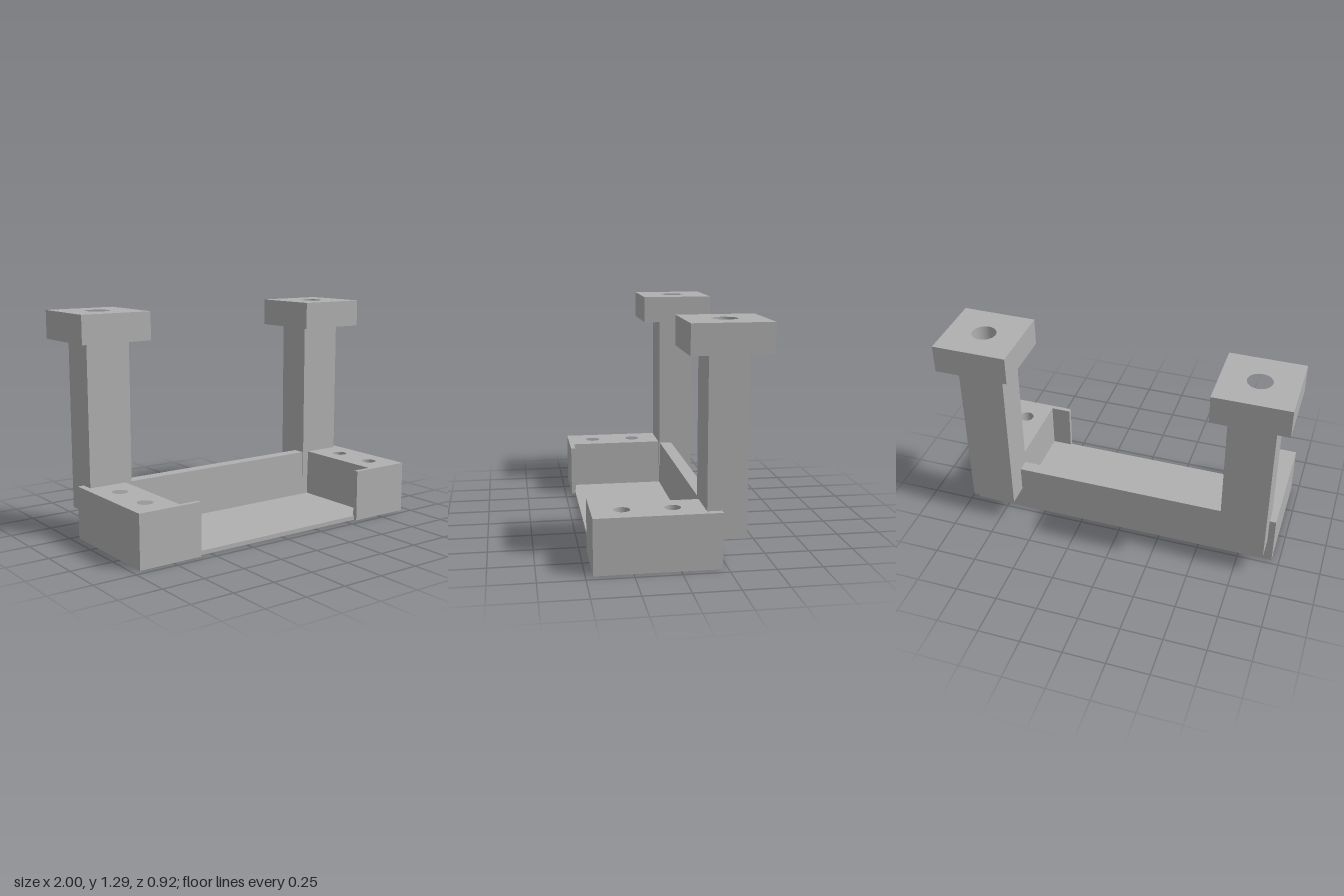
import * as THREE from 'three';

export function createModel() {
  const model = new THREE.Group();
  model.name = 'mountingBracket';
  const grey = new THREE.MeshStandardMaterial({ color: 0xb0b0b0 });
  grey.name = 'plain grey';

  function add(parent, name, geometry) {
    const mesh = new THREE.Mesh(geometry, grey);
    mesh.name = name;
    parent.add(mesh);
  }

  // Box given by its limits on each axis
  function box(x0, x1, y0, y1, z0, z1) {
    return new THREE.BoxGeometry(x1 - x0, y1 - y0, z1 - z0)
      .translate((x0 + x1) / 2, (y0 + y1) / 2, (z0 + z1) / 2);
  }

  // Horizontal slab from an outline of [x, z] points, with round holes [x, z, radius]
  function slab(points, y0, y1, holes = []) {
    const shape = new THREE.Shape(points.map(([x, z]) => new THREE.Vector2(x, z)));
    for (const [x, z, r] of holes) {
      const hole = new THREE.Path();
      hole.absarc(x, z, r, 0, Math.PI * 2, true);
      shape.holes.push(hole);
    }
    return new THREE.ExtrudeGeometry(shape, { depth: y1 - y0, bevelEnabled: false, curveSegments: 24 })
      .rotateX(Math.PI / 2).translate(0, y1, 0);
  }

  const W = 0.955, floorTop = 0.025, baseTop = 0.307;

  // Tray floor, its front edge set back between the lips
  add(model, 'trayFloor', slab([
    [-W, -0.22], [W, -0.22], [W, 0.46], [0.57, 0.46], [0.57, 0.44],
    [-0.57, 0.44], [-0.57, 0.46], [-W, 0.46],
  ], 0, floorTop));
  add(model, 'backWall', box(-0.69, 0.69, floorTop, baseTop, -0.22, -0.145));

  for (const s of [-1, 1]) {
    const side = new THREE.Group();
    side.name = s > 0 ? 'leftSide' : 'rightSide';
    model.add(side);

    // Side block with a thin front lip and two blind screw holes
    add(side, 'sideBlock', slab([
      [s * 0.69, -0.22], [s * W, -0.22], [s * W, 0.46],
      [s * 0.57, 0.46], [s * 0.57, 0.432], [s * 0.69, 0.432],
    ], floorTop, baseTop, [[s * 0.82, 0.025, 0.045], [s * 0.82, 0.295, 0.045]]));

    // Upright post running down behind the tray
    add(side, 'post', box(s * 0.783 - 0.134, s * 0.783 + 0.134, 0.15, 1.131, -0.355, -0.14));

    // Square cap with a blind hole
    add(side, 'cap', slab([
      [s * 0.57, -0.462], [s, -0.462], [s, -0.03], [s * 0.57, -0.03],
    ], 1.131, 1.294, [[s * 0.785, -0.248, 0.07]]));
  }
  return model;
}
